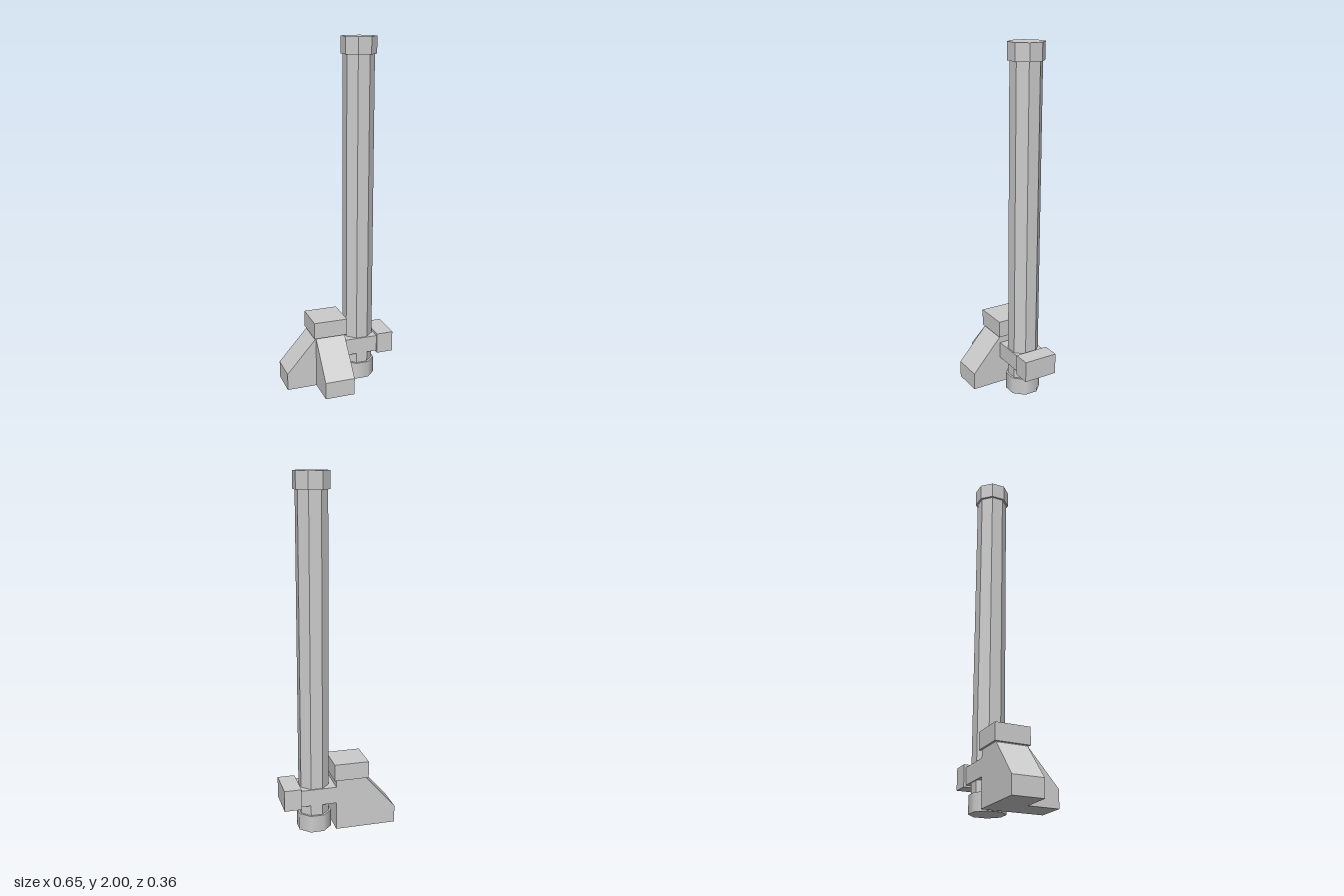
import * as THREE from 'three';

export function createModel() {
  const group = new THREE.Group();
  const flat = new THREE.MeshStandardMaterial({ color: 0xcccccc, flatShading: true });
  const smooth = new THREE.MeshStandardMaterial({ color: 0xcccccc });

  const add = (name, geometry, material = flat) => {
    const mesh = new THREE.Mesh(geometry, material);
    mesh.name = name;
    group.add(mesh);
    return mesh;
  };

  // Box given by its limits on each axis
  const box = (name, [x0, x1], [y0, y1], [z0, z1]) =>
    add(name, new THREE.BoxGeometry(x1 - x0, y1 - y0, z1 - z0))
      .position.set((x0 + x1) / 2, (y0 + y1) / 2, (z0 + z1) / 2);

  // Upright octagonal prism on the pole axis, flat side to the front
  const octagon = (name, apothem, y0, y1, material) => {
    const r = apothem / Math.cos(Math.PI / 8);
    const geometry = new THREE.CylinderGeometry(r, r, y1 - y0, 8).rotateY(Math.PI / 8);
    add(name, geometry, material).position.set(0.136, (y0 + y1) / 2, -0.083);
  };

  // Buttress foot: low toe, sloping up to the top of the central block
  const W = 0.175;
  const foot = (name, angle, x, z) => {
    const shape = new THREE.Shape([[0, 0], [W, 0], [W, 0.1], [0, 0.3]]
      .map(([px, py]) => new THREE.Vector2(px, py)));
    const geometry = new THREE.ExtrudeGeometry(shape, { depth: W, bevelEnabled: false }).rotateY(angle);
    add(name, geometry).position.set(x, 0, z);
  };

  // Corner support
  box('cornerBlock', [-0.151, 0.024], [0, 0.3], [-0.17, 0.005]);
  foot('sideButtress', Math.PI, -0.151, 0.005);
  foot('frontButtress', -Math.PI / 2, 0.024, 0.005);
  box('cornerCap', [-0.163, 0.036], [0.303, 0.4], [-0.182, 0.017]);
  box('cornerCapSeat', [-0.151, 0.024], [0.3, 0.303], [-0.17, 0.005]);

  // Arm that holds the pole
  box('arm', [0.024, 0.227], [0.163, 0.26], [-0.17, 0.005]);
  box('armEnd', [0.227, 0.325], [0.153, 0.275], [-0.182, 0.017]);

  // Pole with its end collars
  octagon('pole', 0.081, 0.05, 1.95, flat);
  octagon('poleFoot', 0.092, 0, 0.1, smooth);
  octagon('poleTop', 0.092, 1.905, 2, flat);

  return group;
}
